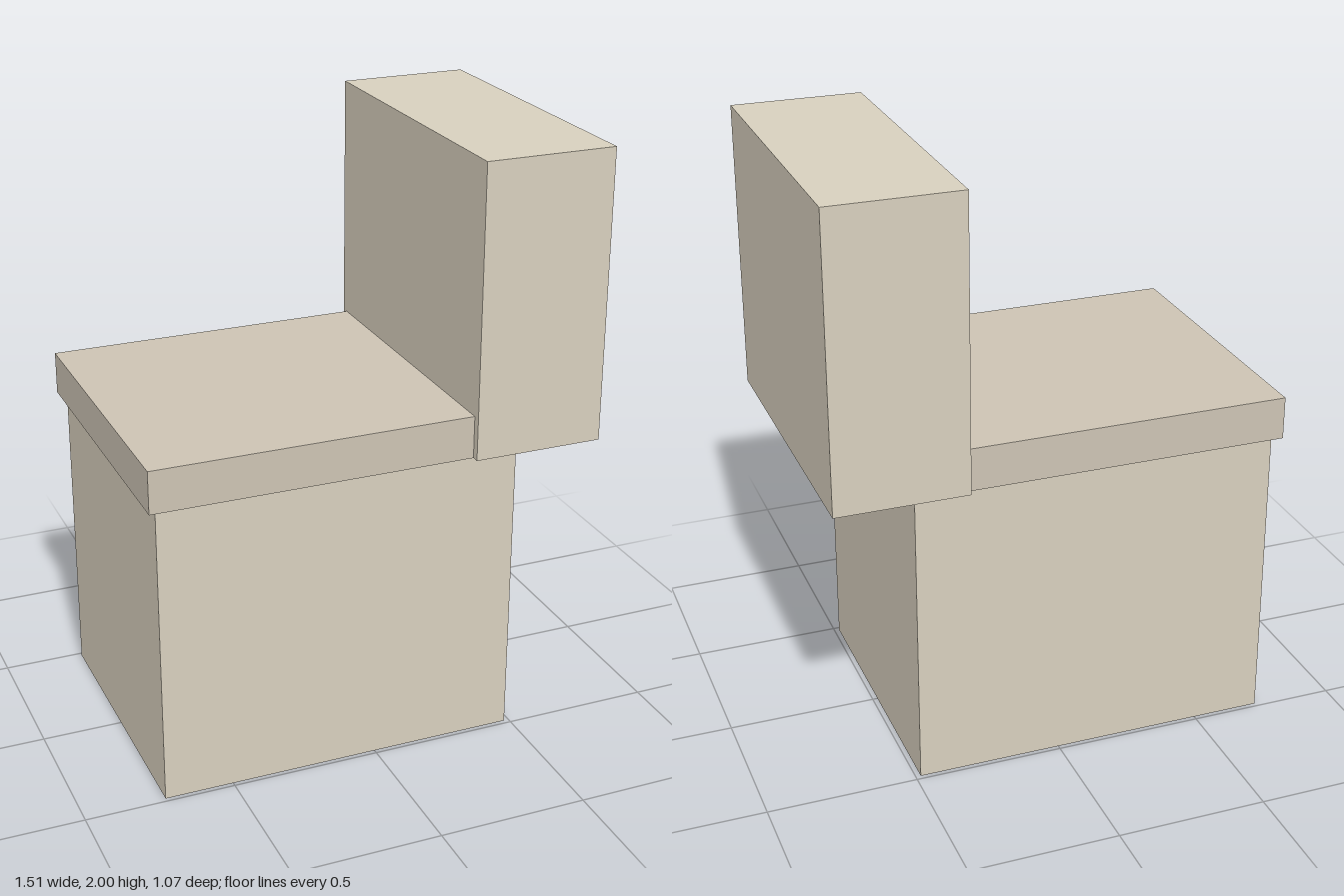
import * as THREE from 'three';

const CREAM = 0xd8d0be;
const TAUPE = 0xcdc4b4;

// Box spanning the given x and y ranges, centred on z
function block(name, x0, x1, y0, y1, depth, color) {
  const mesh = new THREE.Mesh(
    new THREE.BoxGeometry(x1 - x0, y1 - y0, depth),
    new THREE.MeshStandardMaterial({ color })
  );
  mesh.position.set((x0 + x1) / 2, (y0 + y1) / 2, 0);
  mesh.name = name;
  return mesh;
}

export function createModel() {
  const model = new THREE.Group();
  model.name = 'toilet';
  model.add(
    // solid pedestal
    block('base', -0.73, 0.483, 0, 1.027, 0.97, CREAM),
    // flat lid, butting against the tank
    block('lid', -0.757, 0.317, 1.027, 1.17, 1.024, TAUPE),
    // upright tank overhanging the base
    block('tank', 0.317, 0.755, 1.027, 2, 1.074, CREAM)
  );
  return model;
}
